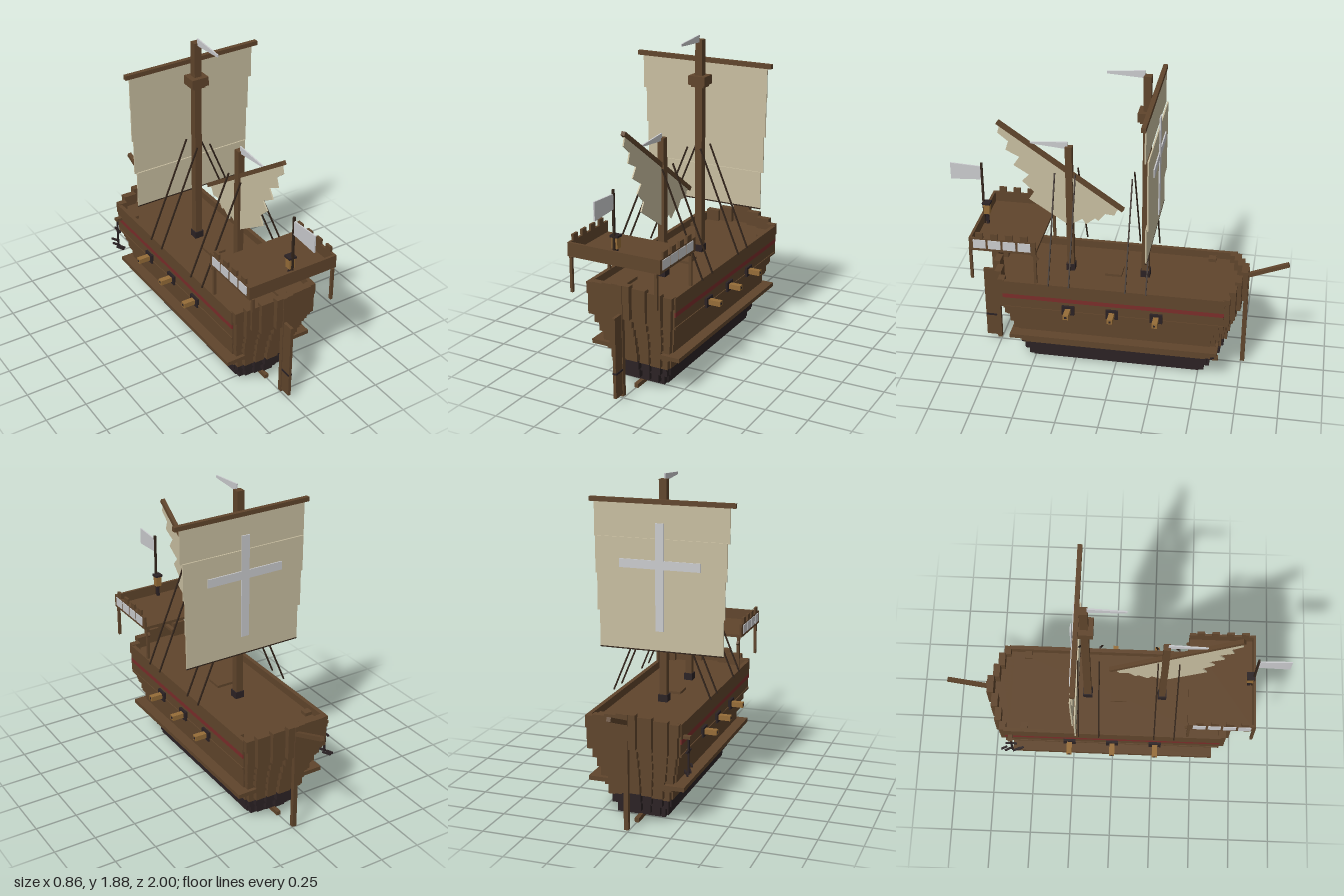
import * as THREE from 'three';

const mat = (name, color, side = THREE.FrontSide) => {
  const m = new THREE.MeshStandardMaterial({ color, side });
  m.name = name;
  return m;
};

export function createModel() {
  const ship = new THREE.Group();
  ship.name = 'sailingShip';
  const wood = mat('wood', 0x60452c);
  const dark = mat('darkTar', 0x2b2224);
  const red = mat('redStripe', 0x7a2d2a);
  const canvas = mat('canvas', 0xc8bea0);
  const pale = mat('paleCloth', 0xcacbce);
  const gold = mat('bronzeWood', 0x966d38);
  const rope = mat('rope', 0x33251b);

  const add = (name, geo, m, parent = ship) => {
    const mesh = new THREE.Mesh(geo, m);
    mesh.name = name;
    parent.add(mesh);
    return mesh;
  };
  // Box given by its lower and upper limits on each axis
  const box = (name, m, x0, x1, y0, y1, z0, z1, parent = ship) => {
    const b = add(name, new THREE.BoxGeometry(x1 - x0, y1 - y0, z1 - z0), m, parent);
    b.position.set((x0 + x1) / 2, (y0 + y1) / 2, (z0 + z1) / 2);
    return b;
  };
  // Square bar between two points
  const beam = (name, m, a, b, w, parent = ship) => {
    const p = new THREE.Vector3(...a), q = new THREE.Vector3(...b);
    const bar = add(name, new THREE.BoxGeometry(w, w, p.distanceTo(q)), m, parent);
    bar.position.copy(p).add(q).multiplyScalar(0.5);
    bar.lookAt(q);
    return bar;
  };
  // Thin upright sheet from [z, y] points
  const sheet = (name, m, pts) => {
    const shape = new THREE.Shape(pts.map(([z, y]) => new THREE.Vector2(z, y)));
    const geo = new THREE.ExtrudeGeometry(shape, { depth: 0.008, bevelEnabled: false });
    geo.translate(0, 0, -0.004).rotateY(-Math.PI / 2);
    return add(name, geo, m);
  };

  // Hull: stacked strakes, each with stepped ends that rise towards the middle
  const hull = new THREE.Group();
  hull.name = 'hull';
  ship.add(hull);
  const deckY = 0.57;
  const ends = [[1, 0.085], [0.8, 0.055], [0.5, 0.03], [0.2, 0]]; // width share, inset
  const rows = [ // y0, y1, half width, half length
    [0.02, 0.08, 0.15, 0.62], [0.08, 0.135, 0.175, 0.64], [0.135, 0.195, 0.19, 0.66],
    [0.195, 0.25, 0.205, 0.675], [0.25, 0.31, 0.22, 0.69], [0.31, 0.37, 0.235, 0.71],
    [0.37, 0.43, 0.25, 0.735], [0.43, deckY, 0.27, 0.765],
  ];
  rows.forEach(([y0, y1, w, len], r) => {
    const m = r < 2 ? dark : wood;
    const body = len - 0.115;
    box('strake', m, -w, w, y0, y1, -body, body, hull);
    ends.forEach(([share, inset], i) => {
      const lift = 0.018 * i;
      const top = Math.min(y1 + lift, deckY);
      for (const s of [-1, 1]) {
        const z0 = s * (body - 0.03), z1 = s * (len - inset);
        const hw = i ? w * share : w - 0.008;
        box('strakeEnd', m, -hw, hw, y0 + lift, top,
          Math.min(z0, z1), Math.max(z0, z1), hull);
      }
    });
  });

  // Bulwark around the deck
  for (const s of [-1, 1]) {
    const mid = s * 0.262;
    box('bulwark', wood, mid - 0.01, mid + 0.01, 0.55, 0.615, -0.655, 0.655, hull);
    box('topStrake', wood, s * 0.27 - 0.006, s * 0.27 + 0.006, 0.53, 0.615, -0.65, 0.65, hull);
    box('redStripe', red, s * 0.272 - 0.004, s * 0.272 + 0.004, 0.503, 0.53, -0.65, 0.65, hull);
    box('rubbingStrake', wood, s * 0.265 - 0.01, s * 0.265 + 0.01, 0.43, 0.442, -0.65, 0.65, hull);
    const a = s * 0.15, b = s * 0.28;
    box('sideLedge', wood, Math.min(a, b), Math.max(a, b), 0.22, 0.245, -0.62, 0.62, hull);
    ends.forEach(([share, inset], i) => {
      const outer = 0.27 * share, inner = i < 3 ? 0.27 * ends[i + 1][0] : 0;
      for (const e of [-1, 1]) {
        const z = e * (0.765 - inset - 0.02);
        const x0 = s * inner, x1 = s * outer;
        box('endBulwark', wood, Math.min(x0, x1), Math.max(x0, x1), 0.55,
          0.62 + 0.02 * i, z - 0.02, z + 0.02, hull);
      }
    });
  }

  // Keel, end posts, rudder and tiller
  box('keel', wood, -0.012, 0.012, 0, 0.025, -0.61, 0.61);
  for (const z of [-0.757, 0.757])
    box('endPost', wood, -0.013, 0.013, 0.02, 0.68, z - 0.013, z + 0.013);
  box('rudder', wood, -0.009, 0.009, 0.035, 0.515, 0.765, 0.838);
  box('rudderStrap', dark, -0.013, 0.013, 0.178, 0.19, 0.765, 0.838);
  box('tiller', wood, -0.012, 0.012, 0.658, 0.675, 0.6, 0.76);
  beam('bowsprit', wood, [0, 0.625, -0.74], [0, 0.728, -0.995], 0.024);

  // Deck fittings
  box('hatch', wood, -0.05, 0.05, deckY, 0.585, -0.02, 0.08);
  for (const x of [-0.23, 0.23])
    box('deckBlock', wood, x - 0.023, x + 0.023, deckY, 0.59, -0.555, -0.51);

  // Guns and gun ports
  for (const s of [-1, 1]) for (const z of [-0.26, 0, 0.26]) {
    const gun = new THREE.Group();
    gun.name = 'gun';
    gun.position.set(s * 0.27, 0.453, z);
    ship.add(gun);
    box('gunPort', dark, -0.014, 0.014, -0.029, 0.029, -0.037, 0.037, gun);
    const x = s * 0.04;
    box('gunBarrel', gold, x - 0.045, x + 0.045, -0.015, 0.015, -0.016, 0.016, gun);
    box('gunBore', dark, s * 0.085 - 0.002, s * 0.085 + 0.002, -0.006, 0.006, -0.006, 0.006, gun);
  }

  // Masts
  const mast = (name, z, top, w) => {
    box(name, wood, -w, w, deckY, top, z - w, z + w);
    box(name + 'Collar', dark, -w - 0.006, w + 0.006, deckY, 0.612, z - w - 0.006, z + w + 0.006);
  };
  mast('mainMast', -0.157, 1.852, 0.022);
  mast('mizzenMast', 0.293, 1.385, 0.02);
  box('crowsNest', wood, -0.053, 0.053, 1.592, 1.645, -0.203, -0.108);
  box('crowsNestBase', wood, -0.04, 0.04, 1.578, 1.592, -0.19, -0.12);
  sheet('mainPennant', pale, [[-0.14, 1.837], [0.07, 1.85], [0.07, 1.864], [-0.14, 1.88]]);
  sheet('mizzenPennant', pale, [[0.3, 1.368], [0.52, 1.388], [0.52, 1.396], [0.3, 1.412]]);

  // Square sail in four cloths, with its yard and cross
  box('mainYard', wood, -0.43, 0.43, 1.716, 1.742, -0.21, -0.184);
  const cloths = [[1.52, 1.72, 0.4, -0.204], [1.31, 1.525, 0.39, -0.218],
    [1.095, 1.315, 0.38, -0.218], [0.88, 1.1, 0.37, -0.208]];
  cloths.forEach(([y0, y1, w, z]) =>
    box('mainSailCloth', canvas, -w, w, y0, y1, z - 0.004, z + 0.004));
  box('sailFootRope', rope, -0.37, 0.37, 0.876, 0.883, -0.213, -0.203);
  box('crossUpright', pale, -0.025, 0.025, 1.0, 1.615, -0.234, -0.227);
  box('crossArm', pale, -0.24, 0.24, 1.355, 1.405, -0.233, -0.226);

  // Slanted sail with a ragged edge
  beam('mizzenYard', wood, [0, 1.508, 0.705], [0, 1.0, -0.022], 0.024);
  sheet('mizzenSail', canvas, [[0.69, 1.495], [0.706, 1.44], [0.645, 1.39], [0.663, 1.335],
    [0.583, 1.295], [0.62, 1.24], [0.53, 1.185], [0.572, 1.14], [0.503, 1.075], [0.535, 1.025],
    [0.3, 0.87], [0.22, 0.92], [0.2, 0.885], [0.145, 0.93], [0.125, 0.915], [0.085, 0.965],
    [0.03, 0.96], [0.015, 0.995], [-0.01, 1.005]]);

  // Shrouds
  for (const z of [-0.2, -0.08, 0.25, 0.37]) for (const s of [-1, 1])
    beam('shroud', rope, [s * 0.042, 1.23, z], [s * 0.295, 0.62, z], 0.008);

  // Raised stern platform with shields and battlements
  box('platformFloor', wood, -0.285, 0.285, 0.818, 0.835, 0.44, 0.83);
  box('platformSternWall', wood, -0.285, 0.285, 0.82, 0.898, 0.815, 0.83);
  for (const s of [-1, 1]) {
    const x = s * 0.278;
    box('platformSideWall', wood, x - 0.007, x + 0.007, 0.82, 0.898, 0.44, 0.83);
    for (let i = 0; i < 4; i++) {
      const z = 0.768 - i * 0.0875;
      box('shieldPanel', pale, x + s * 0.008 - 0.003, x + s * 0.008 + 0.003, 0.835, 0.89, z - 0.037, z + 0.037);
      box('merlon', wood, x - 0.007, x + 0.007, 0.89, 0.932, z - 0.022, z + 0.022);
    }
    box('railPost', wood, x - 0.007, x + 0.007, 0.87, 0.9, 0.44, 0.475);
    for (const z of [0.45, 0.83])
      box('platformPost', wood, s * 0.262 - 0.008, s * 0.262 + 0.008, 0.615, 0.82, z - 0.008, z + 0.008);
    beam('platformBrace', wood, [s * 0.262, 0.818, 0.475], [s * 0.262, 0.775, 0.43], 0.014);
  }

  // Stern lantern and flag
  box('lantern', gold, -0.018, 0.018, 0.905, 0.968, 0.775, 0.812);
  box('lanternCap', dark, -0.024, 0.024, 0.968, 0.98, 0.77, 0.818);
  box('lanternStand', dark, -0.008, 0.008, 0.83, 0.905, 0.785, 0.802);
  box('flagPole', rope, -0.006, 0.006, 0.83, 1.235, 0.807, 0.819);
  sheet('sternFlag', pale, [[0.818, 1.128], [1.0, 1.118], [1.0, 1.222], [0.818, 1.212]]);

  // Anchor hung from a short beam
  const anchor = new THREE.Group();
  anchor.name = 'anchor';
  anchor.position.set(-0.304, 0, -0.615);
  ship.add(anchor);
  box('anchorBeam', wood, -0.012, 0.07, 0.53, 0.547, -0.014, 0.014, anchor);
  box('anchorShank', dark, -0.005, 0.005, 0.325, 0.535, -0.005, 0.005, anchor);
  box('anchorStock', dark, -0.005, 0.005, 0.455, 0.465, -0.035, 0.035, anchor);
  for (const s of [-1, 1]) {
    beam('anchorArm', dark, [0, 0.33, 0], [0, 0.345, s * 0.05], 0.011, anchor);
    beam('anchorFluke', dark, [0, 0.34, s * 0.05], [0, 0.38, s * 0.052], 0.011, anchor);
  }
  return ship;
}
